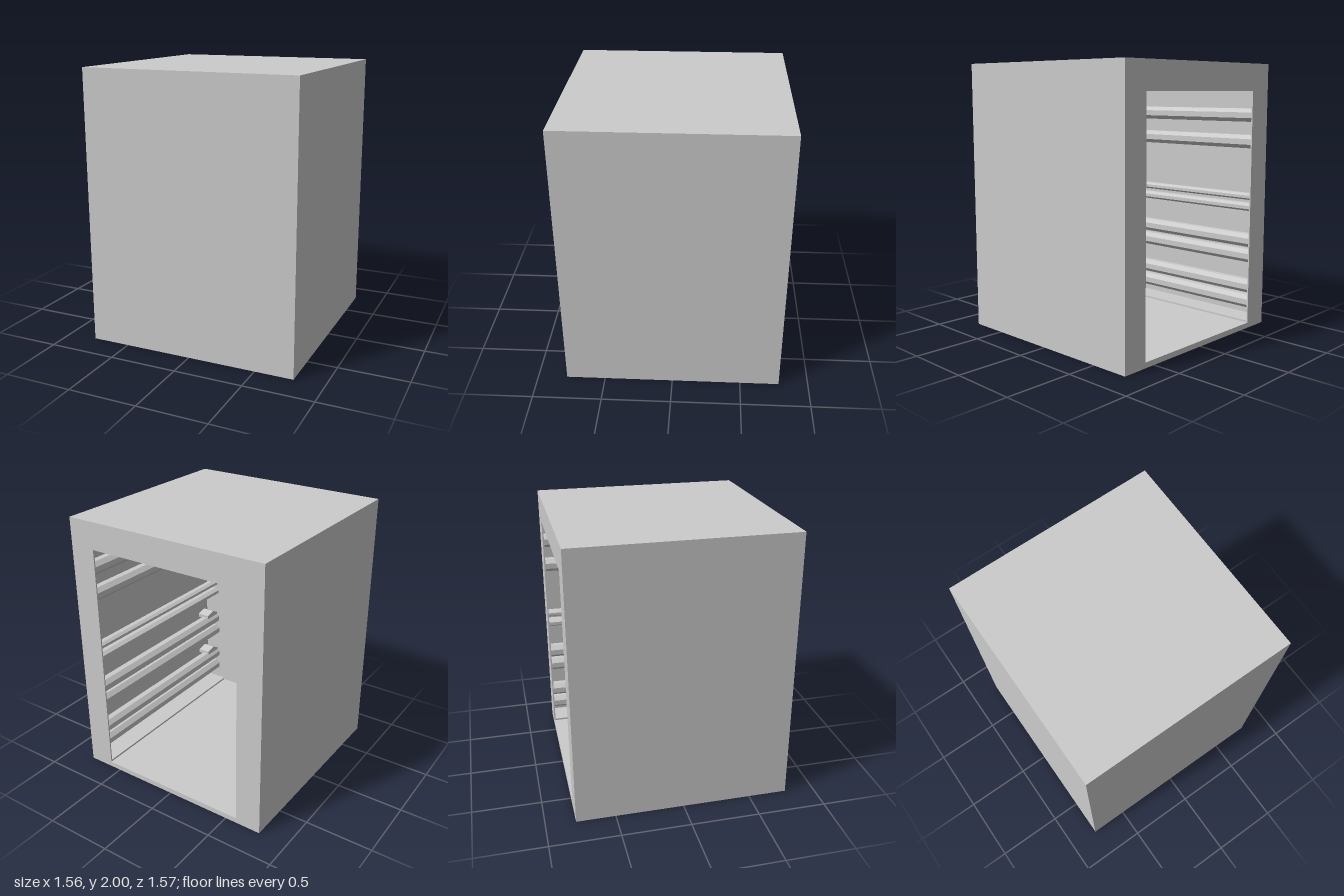
import * as THREE from 'three';

const W = 0.782, H = 2, D = 0.785;    // half width, height, half depth
const SKIN = 0.01;                    // sheet thickness
const OPEN_X = 0.587, OPEN_Y0 = 0.04, OPEN_Y1 = 1.8;

const material = new THREE.MeshStandardMaterial({ color: 0xcccccc, flatShading: true });

function add(parent, name, geometry, x = 0, y = 0, z = 0) {
  const mesh = new THREE.Mesh(geometry, material);
  mesh.name = name;
  mesh.position.set(x, y, z);
  parent.add(mesh);
  return mesh;
}

const extrude = (shape, depth) =>
  new THREE.ExtrudeGeometry(shape, { depth, bevelEnabled: false });

const polygon = (pts, Type = THREE.Shape) => new Type(pts.map(p => new THREE.Vector2(...p)));

const outline = () => polygon([[-W, 0], [W, 0], [W, H], [-W, H]]);

// Eight-sided rail section with flats facing up and sideways
function railShape(rx, ry) {
  const k = 0.42;
  return polygon([[rx, -ry * k], [rx, ry * k], [rx * k, ry], [-rx * k, ry],
    [-rx, ry * k], [-rx, -ry * k], [-rx * k, -ry], [rx * k, -ry]]);
}

export function createModel() {
  const group = new THREE.Group();
  group.name = 'cabinet';
  const inner = 2 * (D - SKIN);
  const wall = W - SKIN;

  // Hollow body: side channels step in slightly at floor and ceiling
  const body = outline();
  const step = 0.015;
  body.holes.push(polygon([
    [-OPEN_X, OPEN_Y0], [-OPEN_X, OPEN_Y0 + step], [-wall, OPEN_Y0 + step],
    [-wall, OPEN_Y1 - step], [-OPEN_X, OPEN_Y1 - step], [-OPEN_X, OPEN_Y1],
    [OPEN_X, OPEN_Y1], [OPEN_X, OPEN_Y1 - step], [wall, OPEN_Y1 - step],
    [wall, OPEN_Y0 + step], [OPEN_X, OPEN_Y0 + step], [OPEN_X, OPEN_Y0]], THREE.Path));
  add(group, 'body', extrude(body, inner), 0, 0, -inner / 2);

  // Closed front and open back frame
  add(group, 'frontPanel', extrude(outline(), SKIN), 0, 0, D - SKIN);
  const frame = outline();
  frame.holes.push(polygon([[-OPEN_X, OPEN_Y0], [-OPEN_X, OPEN_Y1],
    [OPEN_X, OPEN_Y1], [OPEN_X, OPEN_Y0]], THREE.Path));
  add(group, 'backFrame', extrude(frame, SKIN), 0, 0, -D);

  // Rails along both side walls: [height, half width, half height]
  const rails = [
    [1.62, 0.055, 0.05], [1.42, 0.055, 0.05],
    [1.0, 0.04, 0.025], [0.92, 0.05, 0.03],
    [0.66, 0.055, 0.05], [0.54, 0.055, 0.05],
    [0.3, 0.055, 0.05], [0.18, 0.055, 0.05]];
  const wedge = polygon([[0, 0], [0.14, 0], [0.14, 0.03], [0.06, 0.05], [0, 0.02]]);

  for (const side of [-1, 1]) {
    const set = new THREE.Group();
    set.name = side > 0 ? 'leftRails' : 'rightRails';
    group.add(set);
    for (const [y, rx, ry] of rails) {
      add(set, 'rail', extrude(railShape(rx, ry), inner), side * 0.695, y, -inner / 2);
    }
    // Wedge brackets by the front, sitting on the lower rails
    for (const y of [0.7, 0.34]) {
      const bracket = add(set, 'bracket', extrude(wedge, 0.1), side * 0.71 - 0.05, y, 0.77);
      bracket.rotation.y = Math.PI / 2;
    }
  }
  return group;
}
